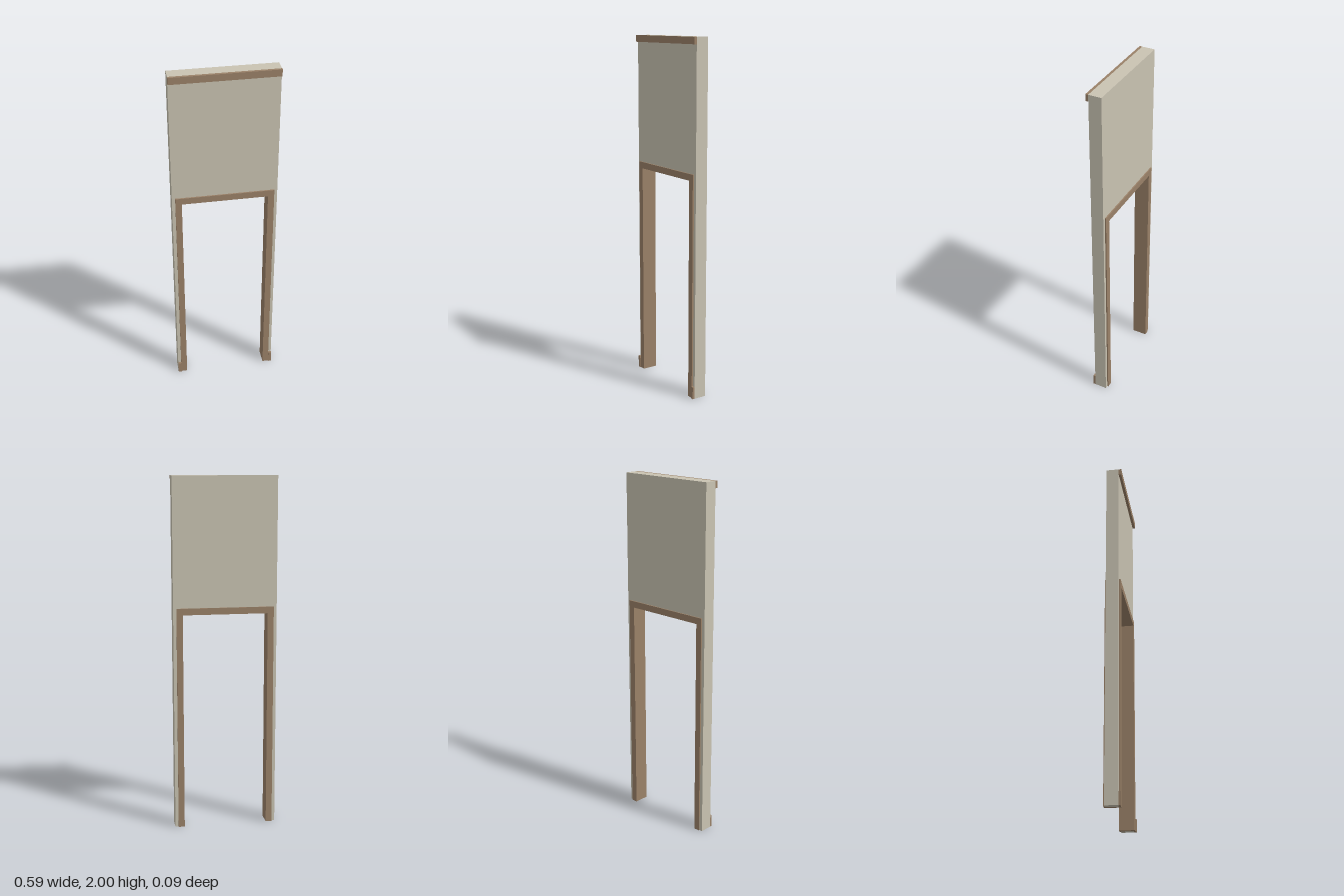
import * as THREE from 'three';

export function createModel() {
  const group = new THREE.Group();
  const plaster = new THREE.MeshStandardMaterial({ color: 0xc9c3b2 });
  plaster.name = 'plaster';
  const wood = new THREE.MeshStandardMaterial({ color: 0x9a8168 });
  wood.name = 'wood';

  const W = 0.293, H = 2, BACK = -0.041, FRONT = 0.031;

  // Upside-down U around a doorway, extruded from z0 to z1
  function arch(name, material, outerX, outerY, innerX, innerY, z0, z1) {
    const shape = new THREE.Shape([
      [-outerX, 0], [-innerX, 0], [-innerX, innerY], [innerX, innerY],
      [innerX, 0], [outerX, 0], [outerX, outerY], [-outerX, outerY],
    ].map(([x, y]) => new THREE.Vector2(x, y)));
    const geo = new THREE.ExtrudeGeometry(shape, { depth: z1 - z0, bevelEnabled: false });
    const mesh = new THREE.Mesh(geo, material);
    mesh.name = name;
    mesh.position.z = z0;
    group.add(mesh);
  }

  // Box given by its limits
  function box(name, material, x0, x1, y0, y1, z0, z1) {
    const mesh = new THREE.Mesh(new THREE.BoxGeometry(x1 - x0, y1 - y0, z1 - z0), material);
    mesh.name = name;
    mesh.position.set((x0 + x1) / 2, (y0 + y1) / 2, (z0 + z1) / 2);
    group.add(mesh);
  }

  // Wall with doorway, lined in wood
  arch('wall', plaster, W, H, 0.258, 1.258, BACK, FRONT);
  arch('doorLining', wood, 0.258, 1.258, 0.24, 1.24, BACK, FRONT);

  // Casings on both faces
  arch('frontCasing', wood, 0.275, 1.277, 0.24, 1.24, FRONT, 0.039);
  arch('backCasing', wood, 0.275, 1.277, 0.24, 1.24, -0.048, BACK);

  // Top moulding and skirting ends on the front
  box('topMoulding', wood, -W, W, 1.962, H, FRONT, 0.046);
  box('leftSkirting', wood, 0.275, W, 0, 0.07, FRONT, 0.044);
  box('rightSkirting', wood, -W, -0.275, 0, 0.07, FRONT, 0.044);

  return group;
}
